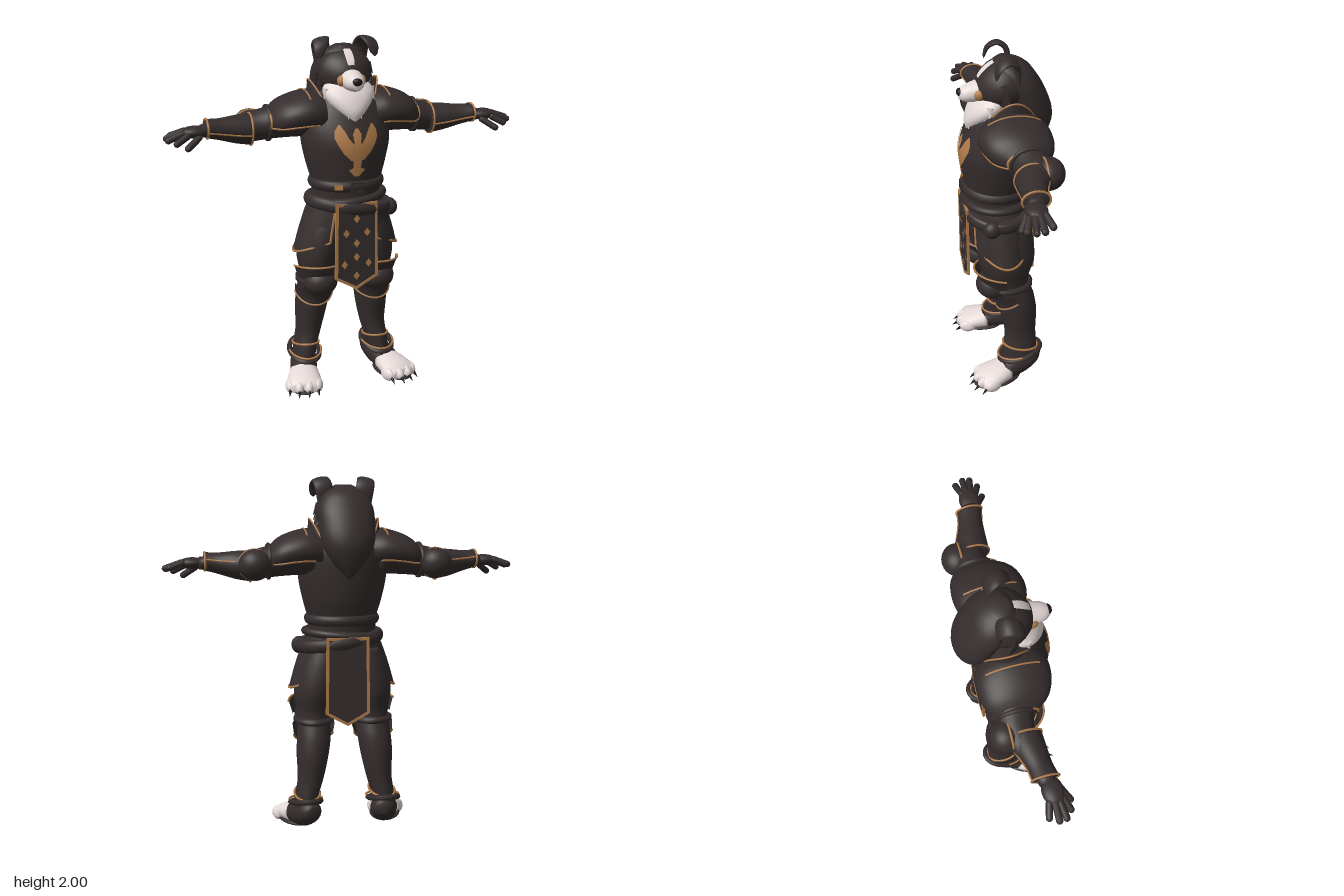
import * as THREE from 'three';
import { mergeVertices } from 'three/addons/utils/BufferGeometryUtils.js';

const paint = (name, color) => new THREE.MeshStandardMaterial({ name, color, side: THREE.DoubleSide });
const V = (p) => new THREE.Vector3(...p);

// Grid surface from f(u, v) -> [x, y, z]
function sheet(f, nu, nv) {
  const pos = [], idx = [], w = nu + 1;
  for (let j = 0; j <= nv; j++) for (let i = 0; i <= nu; i++) pos.push(...f(i / nu, j / nv));
  for (let j = 0; j < nv; j++) for (let i = 0; i < nu; i++) {
    const a = j * w + i;
    idx.push(a, a + 1, a + w, a + 1, a + w + 1, a + w);
  }
  let g = new THREE.BufferGeometry();
  g.setAttribute('position', new THREE.Float32BufferAttribute(pos, 3));
  g.setIndex(idx);
  g = mergeVertices(g, 1e-5);
  g.computeVertexNormals();
  return g;
}

// Smooth body through rings [t, centre1, centre2, radius1, radius2] along an axis
function body(rings, axis) {
  const curve = new THREE.CubicInterpolant(rings.map((r) => r[0]), rings.flatMap((r) => r.slice(1)), 4, new Float32Array(4));
  return (t, a, off = 0, k = 1) => {
    const [c1, c2, r1, r2] = curve.evaluate(t);
    const p = (Math.max(r1, 0.001) + off) * k, q = (Math.max(r2, 0.001) + off) * k;
    if (axis === 'y') return [c1 + p * Math.sin(a), t, c2 + q * Math.cos(a)];
    if (axis === 'x') return [t, c1 + p * Math.cos(a), c2 + q * Math.sin(a)];
    return [c1 - p * Math.sin(a), c2 + q * Math.cos(a), t];
  };
}
function loft(rings, axis, sides = 28) {
  const f = body(rings, axis), rows = (rings.length - 1) * 4, n = rows + 2;
  return sheet((u, v) => {
    const j = Math.round(v * n), s = Math.min(Math.max(j - 1, 0), rows) / 4;
    const i = Math.min(Math.floor(s), rings.length - 2);
    const t = THREE.MathUtils.lerp(rings[i][0], rings[i + 1][0], s - i);
    return f(t, (u % 1) * Math.PI * 2, 0, j === 0 || j === n ? 0 : 1);
  }, sides, n);
}
const ball = (p, r) => new THREE.SphereGeometry(1, 24, 16).scale(...r).translate(...p);
function trim(f, n = 24, r = 0.007, closed = false) {
  const pts = Array.from({ length: closed ? n : n + 1 }, (_, i) => V(f(i / n)));
  return new THREE.TubeGeometry(new THREE.CatmullRomCurve3(pts, closed), n * 2, r, 6, closed);
}
function aim(g, p, q) {
  const d = V(q).sub(V(p)), m = V(p).add(V(q)).multiplyScalar(0.5);
  return g.applyQuaternion(new THREE.Quaternion().setFromUnitVectors(V([0, 1, 0]), d.normalize())).translate(m.x, m.y, m.z);
}
const gap = (p, q) => V(p).distanceTo(V(q));
const finger = (p, q, r) => aim(new THREE.CapsuleGeometry(r, gap(p, q) - r, 5, 10), p, q);
const spike = (p, q, r) => aim(new THREE.ConeGeometry(r, gap(p, q), 7), p, q);

export function createModel() {
  const root = new THREE.Group();
  const dark = paint('charcoal', 0x352d2d), gold = paint('bronze', 0xb07b4a);
  const white = paint('white fur', 0xe4d9d7), black = paint('black', 0x1d1818);
  const add = (name, g, m) => {
    const mesh = new THREE.Mesh(g, m);
    mesh.name = name;
    root.add(mesh);
  };
  const both = (name, g, m) => {
    add(name + 'Left', g, m);
    const r = g.clone().scale(-1, 1, 1), ix = r.index.array;
    for (let i = 0; i < ix.length; i += 3) [ix[i], ix[i + 1]] = [ix[i + 1], ix[i]];
    add(name + 'Right', r, m);
  };

  // Torso and winged chest ornament
  const torso = [[1.0, 0, 0.035, 0.21, 0.17], [1.2, 0, 0.04, 0.195, 0.175], [1.32, 0, 0.03, 0.225, 0.2],
    [1.45, 0, 0.025, 0.25, 0.213], [1.58, 0, 0, 0.24, 0.195], [1.68, 0, -0.02, 0.18, 0.16], [1.76, 0, -0.03, 0.12, 0.12]];
  add('torso', loft(torso, 'y', 40), dark);
  const chest = body(torso, 'y');
  const onChest = (x, y) => {
    const rx = chest(y, Math.PI / 2)[0];
    return chest(y, Math.asin(x / rx), 0.005);
  };
  const inlay = (rows) => {
    const n = rows.length - 1;
    return sheet((u, v) => {
      const s = v * n, i = Math.min(Math.floor(s), n - 1), k = s - i;
      const [y, a, b] = rows[i].map((c, j) => THREE.MathUtils.lerp(c, rows[i + 1][j], k));
      return onChest(a + (b - a) * u, y);
    }, 6, n * 3);
  };
  both('chestWing', inlay([[1.36, 0, 0.035], [1.4, 0, 0.075], [1.44, 0.015, 0.1], [1.48, 0.045, 0.118], [1.52, 0.065, 0.115], [1.55, 0.085, 0.095]]), gold);
  add('chestOrnament', inlay([[1.27, -0.012, 0.012], [1.305, -0.045, 0.045], [1.32, -0.02, 0.02], [1.4, -0.03, 0.03],
    [1.46, -0.018, 0.018], [1.5, -0.024, 0.024], [1.53, -0.008, 0.008]]), gold);

  // Belts, buckles and pouch
  const belt = (h, rx, rz) => loft([[-h, 0, 0.04, rx - 0.012, rz - 0.012], [-h * 0.7, 0, 0.04, rx, rz], [h * 0.7, 0, 0.04, rx, rz], [h, 0, 0.04, rx - 0.012, rz - 0.012]], 'y', 36);
  add('waistBelt', belt(0.03, 0.208, 0.192).translate(0, 1.21, 0), dark);
  add('hipBelt', belt(0.035, 0.25, 0.203).rotateZ(-0.13).translate(0.015, 1.085, 0), dark);
  add('crossBelt', belt(0.022, 0.226, 0.19).rotateZ(0.07).translate(0, 1.125, 0), dark);
  const rect = (C, w, h) => new C([[-w, -h], [w, -h], [w, h], [-w, h]].map((p) => new THREE.Vector2(...p)));
  const frame = rect(THREE.Shape, 0.035, 0.027);
  frame.holes.push(rect(THREE.Path, 0.025, 0.017));
  add('buckle', new THREE.ExtrudeGeometry(frame, { depth: 0.012, bevelEnabled: false }).translate(0, 1.21, 0.228), dark);
  add('beltTip', new THREE.BoxGeometry(0.045, 0.025, 0.009).rotateY(-0.35).translate(-0.1, 1.21, 0.215), gold);
  add('pouch', ball([0.235, 1.05, 0.11], [0.045, 0.05, 0.05]), dark);

  // Skirt side panels with trim
  const skirt = body([[0.8, 0, 0.03, 0.312, 0.172], [0.95, 0, 0.033, 0.27, 0.172], [1.13, 0, 0.035, 0.205, 0.17]], 'y');
  const panel = (u, v) => {
    const a = 0.5 + u * (Math.PI - 1), low = 0.82 + 0.09 * Math.cos(a) ** 2;
    return skirt(low + (1.13 - low) * v, a);
  };
  both('skirtPanel', sheet(panel, 24, 8), dark);
  both('skirtHem', trim((u) => panel(u, 0)), gold);
  for (const e of [0, 1]) both('skirtEdge' + e, trim((u) => panel(e, u), 8), gold);

  // Front and back hanging cloths with borders and diamonds
  const outline = (C, k) => new C([[-0.12 + k, 1.12 - k], [-0.125 + k, 0.69 + k * 0.5], [0, 0.62 + k * 1.1], [0.125 - k, 0.69 + k * 0.5], [0.12 - k, 1.12 - k]].map((p) => new THREE.Vector2(...p)));
  const border = outline(THREE.Shape, 0);
  border.holes.push(outline(THREE.Path, 0.016));
  for (const [side, z] of [['front', 0.225], ['back', -0.15]]) {
    add(side + 'Cloth', new THREE.ExtrudeGeometry(outline(THREE.Shape, 0.002), { depth: 0.008, bevelEnabled: false }).translate(0, 0, z - 0.004), dark);
    add(side + 'ClothBorder', new THREE.ExtrudeGeometry(border, { depth: 0.014, bevelEnabled: false }).translate(0, 0, z - 0.007), gold);
  }
  for (const [x, y] of [[0, 1.03], [-0.06, 0.95], [0.06, 0.95], [0, 0.89], [-0.07, 0.77], [0.07, 0.77], [0, 0.81], [0, 0.7]])
    add('clothDiamond', new THREE.CircleGeometry(0.025, 4).scale(0.75, 1, 1).translate(x, y, 0.2305), gold);

  // Hips and legs
  add('hips', ball([0, 0.98, 0.025], [0.2, 0.15, 0.155]), dark);
  const legRings = [[0.1, 0.235, -0.05, 0.065, 0.1], [0.2, 0.222, -0.055, 0.066, 0.1], [0.3, 0.2, -0.06, 0.073, 0.092], [0.45, 0.185, -0.05, 0.092, 0.108],
    [0.55, 0.175, -0.035, 0.096, 0.108], [0.66, 0.168, 0.01, 0.095, 0.12], [0.8, 0.165, 0.015, 0.115, 0.16], [0.95, 0.13, 0.02, 0.125, 0.16], [1.05, 0.11, 0.02, 0.1, 0.14]];
  const leg = body(legRings, 'y');
  both('leg', loft(legRings, 'y'), dark);
  both('kneePad', ball([0.17, 0.645, 0.095], [0.098, 0.085, 0.098]), dark);
  both('kneeStrap', trim((u) => leg(0.635, u * Math.PI * 2, 0.004), 24, 0.02, true), dark);
  const kneeTop = (u, v) => {
    const a = (u - 0.5) * 2.8;
    return leg(0.66 + v * (0.07 + 0.025 * Math.cos(a)), a, 0.025 + 0.012 * v);
  };
  const shinTop = (u, v) => {
    const a = (u - 0.5) * 3;
    return leg(0.61 - v * (0.05 + 0.07 * Math.cos(a)), a, 0.028 - 0.012 * v);
  };
  for (const [name, f] of [['thighPlate', kneeTop], ['shinPlate', shinTop]]) {
    both(name, sheet(f, 20, 6), dark);
    both(name + 'Trim', trim((u) => f(u, 1), 20, 0.006), gold);
  }
  both('bootCuff', trim((u) => leg(0.215 + 0.02 * Math.cos(u * Math.PI * 2), u * Math.PI * 2, 0.006), 24, 0.007, true), gold);
  both('ankleStrap', trim((u) => leg(0.165 - 0.03 * Math.cos(u * Math.PI * 2), u * Math.PI * 2, 0.02), 24, 0.016, true), dark);
  both('ankleTrim', trim((u) => leg(0.18 - 0.02 * Math.cos((u - 0.5) * 3), (u - 0.5) * 3, 0.03), 20, 0.006), gold);

  // Paws, turned slightly outwards
  const paw = (g) => g.rotateY(0.27).translate(0.23, 0, -0.06);
  both('heel', paw(loft([[-0.115, 0, 0.13, 0.03, 0.03], [-0.09, 0, 0.125, 0.058, 0.055], [-0.02, 0, 0.105, 0.075, 0.078], [0.06, 0, 0.085, 0.077, 0.075], [0.13, 0, 0.07, 0.078, 0.062]], 'z')), dark);
  both('paw', paw(loft([[0.1, 0, 0.07, 0.08, 0.066], [0.17, 0, 0.062, 0.094, 0.058], [0.24, 0, 0.05, 0.1, 0.046], [0.28, 0, 0.04, 0.08, 0.03]], 'z')), white);
  both('sole', paw(ball([0, 0.022, 0.16], [0.09, 0.022, 0.15])), dark);
  [-0.078, -0.027, 0.027, 0.078].forEach((x, i) => {
    const z = 0.265 - Math.abs(x) * 0.5;
    both('toe' + i, paw(ball([x, 0.042, z], [0.03, 0.04, 0.052])), white);
    both('claw' + i, paw(spike([x, 0.04, z + 0.035], [x * 1.08, 0.006, z + 0.08], 0.014)), black);
  });

  // Arms, bracers and elbows
  both('arm', loft([[0.18, 1.58, -0.02, 0.12, 0.14], [0.3, 1.57, -0.03, 0.11, 0.13], [0.42, 1.54, -0.05, 0.088, 0.1], [0.5, 1.525, -0.06, 0.083, 0.09],
    [0.6, 1.52, -0.04, 0.065, 0.07], [0.72, 1.53, 0, 0.045, 0.05], [0.8, 1.53, 0.02, 0.034, 0.045]], 'x'), dark);
  const bracerRings = [[0.52, 1.515, -0.03, 0.086, 0.09], [0.6, 1.52, -0.02, 0.077, 0.083], [0.7, 1.53, 0, 0.058, 0.067], [0.77, 1.54, 0.012, 0.05, 0.07]];
  const bracer = body(bracerRings, 'x');
  both('bracer', loft(bracerRings, 'x'), dark);
  for (const x of [0.525, 0.768]) both('bracerTrim', trim((u) => bracer(x, u * Math.PI * 2, 0.001), 20, 0.006, true), gold);
  for (const a of [1.85, -1.3]) both('bracerSeam', trim((u) => bracer(0.525 + u * 0.243, a, 0.001), 8, 0.005), gold);
  both('elbowPad', ball([0.505, 1.525, -0.12], [0.09, 0.085, 0.085]), dark);
  both('elbowTrim', trim((u) => [0.505 + 0.088 * Math.cos(u * 6.2832), 1.525 + 0.083 * Math.sin(u * 6.2832), -0.1], 24, 0.006, true), gold);
  both('upperArmBand', trim((u) => [0.425, 1.54 + 0.09 * Math.cos(u * 6.2832), -0.045 + 0.1 * Math.sin(u * 6.2832)], 24, 0.012, true), dark);

  // Hands
  both('palm', ball([0.835, 1.53, 0.03], [0.075, 0.032, 0.056]), dark);
  [[[0.88, 1.535, 0], [0.965, 1.505, -0.022]], [[0.89, 1.535, 0.025], [0.99, 1.5, 0.025]], [[0.89, 1.53, 0.05], [0.985, 1.495, 0.065]],
    [[0.87, 1.52, 0.07], [0.945, 1.48, 0.1]], [[0.81, 1.51, 0.065], [0.89, 1.455, 0.115]]].forEach(([p, q], i) => both('finger' + i, finger(p, q, 0.018), dark));

  // Shoulder armour and neck guards
  const shoulder = body([[0.14, 1.59, -0.01, 0.115, 0.17], [0.2, 1.6, -0.01, 0.118, 0.19], [0.3, 1.59, -0.015, 0.108, 0.188], [0.38, 1.57, -0.025, 0.09, 0.155], [0.425, 1.555, -0.035, 0.06, 0.105]], 'x');
  const cap = (u, v) => shoulder(0.14 + v * 0.285, (u - 0.5) * 4.1);
  both('shoulderPlate', sheet(cap, 28, 14), dark);
  both('shoulderRim', trim((u) => cap(u, 1)), gold);
  both('shoulderLine', trim((u) => shoulder(0.225, (u - 0.5) * 1.6, 0), 20, 0.005), gold);
  for (const e of [0, 1]) both('shoulderEdge', trim((u) => cap(e, 0.15 + u * 0.85), 10, 0.006), gold);
  const guard = (u, v) => [0.16 + 0.05 * Math.sin(Math.PI * u) - 0.015 * v, 1.66 + 0.11 * v * Math.sin(Math.PI * u) ** 0.8, 0.1 - 0.24 * u];
  both('neckGuard', sheet(guard, 16, 5), dark);
  both('neckGuardTrim', trim((u) => guard(u, 1), 16, 0.005), gold);

  // Mane and white ruff
  add('mane', loft([[1.45, 0, -0.2, 0.01, 0.012], [1.53, 0, -0.185, 0.085, 0.062], [1.63, 0, -0.16, 0.142, 0.108], [1.75, 0, -0.12, 0.155, 0.115],
    [1.85, 0, -0.07, 0.148, 0.11], [1.92, 0, -0.03, 0.105, 0.09], [1.955, 0, -0.01, 0.045, 0.04]], 'y'), dark);
  add('ruff', loft([[1.56, 0, 0.185, 0.012, 0.015], [1.61, 0, 0.145, 0.075, 0.066], [1.67, 0, 0.105, 0.128, 0.09], [1.72, 0, 0.075, 0.142, 0.09], [1.77, 0, 0.05, 0.11, 0.07]], 'y'), white);
  for (let i = 0; i < 5; i++) {
    const x = 0.03 + i * 0.026, y = 1.6 + i * 0.022, z = 0.19 - i * 0.023;
    both('ruffTuft' + i, spike([x - 0.01, y + 0.04, z - 0.008], [x + 0.01, y - 0.03, z + 0.004], 0.022), white);
    both('cheekTuft' + i, spike([0.125, 1.84 - i * 0.028, 0.02], [0.168, 1.79 - i * 0.028, 0.01 - i * 0.01], 0.03), dark);
  }

  // Head, blaze and muzzle
  const skullRings = [[-0.14, 0, 1.8, 0.1, 0.1], [-0.05, 0, 1.81, 0.148, 0.132], [0.04, 0, 1.808, 0.15, 0.125], [0.09, 0, 1.8, 0.118, 0.104], [0.13, 0, 1.79, 0.073, 0.07], [0.15, 0, 1.785, 0.035, 0.035]];
  const skull = body(skullRings, 'z');
  add('skull', loft(skullRings, 'z'), dark);
  add('blaze', sheet((u, v) => {
    const z = 0.035 + 0.1 * v, half = 0.012 + 0.016 * v;
    return skull(z, Math.asin((0.5 - u) * 2 * half / 0.11), 0.005);
  }, 6, 12), white);
  add('muzzle', loft([[0.1, 0, 1.785, 0.07, 0.062], [0.16, 0, 1.775, 0.06, 0.054], [0.21, 0, 1.768, 0.046, 0.042], [0.235, 0, 1.766, 0.026, 0.028]], 'z'), white);
  add('nose', ball([0, 1.778, 0.23], [0.027, 0.021, 0.018]), black);
  add('mouth', trim((u) => [0.04 * (u * 2 - 1), 1.745 + 0.004 * Math.cos(u * 6.28), 0.215 - 0.04 * (u * 2 - 1) ** 2], 12, 0.004), black);
  both('cheekPatch', ball([0.058, 1.775, 0.132], [0.022, 0.03, 0.032]), gold);
  both('eye', ball([0.066, 1.832, 0.107], [0.014, 0.011, 0.01]), black);
  both('browSpot', ball([0.055, 1.862, 0.103], [0.012, 0.006, 0.007]), gold);

  // Ears that fold forward at the tip
  const earPath = new THREE.CatmullRomCurve3([[0.1, 1.86, -0.05], [0.118, 1.95, -0.045], [0.13, 1.983, 0], [0.145, 1.955, 0.05], [0.155, 1.89, 0.07]].map(V));
  const across = V([0.95, -0.2, -0.1]).normalize();
  both('ear', sheet((u, v) => {
    const a = (u % 1) * Math.PI * 2, n = earPath.getTangent(v).cross(across).normalize();
    const w = 0.05 * Math.sqrt(Math.max(1 - v ** 3, 0)) + 0.001, h = 0.014 * Math.sqrt(Math.max(1 - v ** 3, 0)) + 0.001;
    return earPath.getPoint(v).addScaledVector(across, w * Math.cos(a)).addScaledVector(n, h * Math.sin(a)).toArray();
  }, 16, 18), dark);
  return root;
}
